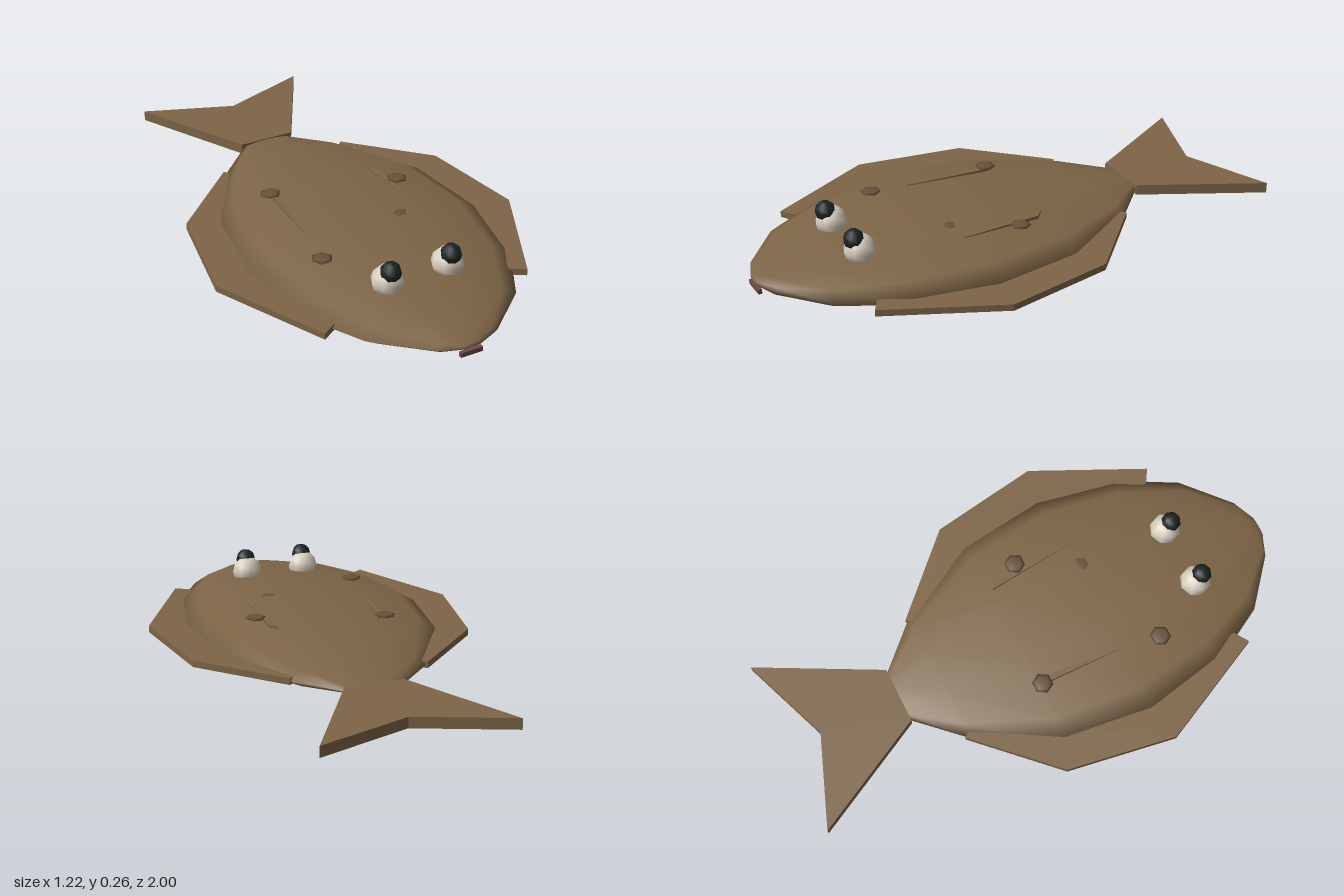
import * as THREE from 'three';

const MID = 0.0925; // height of the body's centre plane
const mat = (color, extra = {}) => new THREE.MeshStandardMaterial({ color, ...extra });

// Flat plate cut from an outline of [x, z] points, between two heights
function plate(name, points, y0, y1, material) {
  const shape = new THREE.Shape(points.map(([x, z]) => new THREE.Vector2(x, -z)));
  const geo = new THREE.ExtrudeGeometry(shape, { depth: y1 - y0, bevelEnabled: false });
  geo.rotateX(-Math.PI / 2).translate(0, y0, 0);
  const mesh = new THREE.Mesh(geo, material);
  mesh.name = name;
  return mesh;
}

// Ten-sided elliptical rings lofted from nose to tail: [z, half width, half height]
function buildBody(skin, belly) {
  const rings = [
    [0.995, 0.04, 0.01], [0.96, 0.125, 0.025], [0.81, 0.3, 0.053], [0.575, 0.43, 0.08],
    [0.27, 0.49, 0.097], [-0.07, 0.446, 0.086], [-0.385, 0.265, 0.047], [-0.555, 0.1, 0.017],
  ];
  const N = 10, pos = [], upper = [], lower = [];
  for (const [z, w, h] of rings) {
    for (let i = 0; i < N; i++) {
      const a = (i / N) * Math.PI * 2;
      pos.push(w * Math.cos(a), MID + h * Math.sin(a), z);
    }
  }
  const nose = rings.length * N, end = nose + 1;
  pos.push(0, MID, 0.998, 0, MID, -0.56);
  for (let i = 0; i < N; i++) {
    const j = (i + 1) % N, faces = i > 5 && i < 9 ? lower : upper;
    for (let r = 0; r < rings.length - 1; r++) {
      const a = r * N + i, b = r * N + j;
      faces.push(a, b, a + N, b, b + N, a + N);
    }
    // Invert-safe winding: outward normals on sides and both caps
    const last = (rings.length - 1) * N;
    faces.push(nose, i, j, end, last + j, last + i);
  }
  // The sides above run nose to tail, so flip them to face outward
  const flip = (list) => {
    for (let k = 0; k < list.length; k += 3) {
      const isCap = list[k] >= nose;
      if (!isCap) [list[k + 1], list[k + 2]] = [list[k + 2], list[k + 1]];
    }
    return list;
  };
  const whole = new THREE.BufferGeometry();
  whole.setAttribute('position', new THREE.Float32BufferAttribute(pos, 3));
  whole.setIndex([...flip(upper), ...flip(lower)]);
  whole.computeVertexNormals();

  // Back and belly share vertices, so shading runs smoothly across the seam
  const group = new THREE.Group();
  group.name = 'body';
  for (const [name, index, material] of [['back', upper, skin], ['belly', lower, belly]]) {
    const geo = whole.clone();
    geo.setIndex(index);
    const mesh = new THREE.Mesh(geo, material);
    mesh.name = name;
    group.add(mesh);
  }
  return group;
}

export function createModel() {
  const model = new THREE.Group();
  model.name = 'flatfish';
  const skin = mat(0x7d6546, { side: THREE.DoubleSide });
  const belly = mat(0xb0a78f, { side: THREE.DoubleSide });
  const finMat = mat(0x7d6546);
  const spotMat = mat(0x66523a);
  const eyeMat = mat(0xd8cfbe);
  const pupilMat = mat(0x1c2426);

  model.add(buildBody(skin, belly));

  // Tail fin
  model.add(plate('tailFin',
    [[-0.11, -0.55], [0.11, -0.55], [0.35, -1], [0, -0.87], [-0.35, -1]], 0.072, 0.113, finMat));

  for (const s of [1, -1]) {
    const side = s > 0 ? 'left' : 'right';
    const mirror = (pts) => pts.map(([x, z]) => [x * s, z]);

    // Long fringe fin along the flank
    model.add(plate(side + 'SideFin', mirror(
      [[0.35, 0.69], [0.405, 0.725], [0.61, 0.3], [0.54, -0.12], [0.26, -0.4], [0.22, -0.36], [0.4, -0.05], [0.44, 0.28]],
    ), 0.08, 0.105, finMat));

    // Slim fin lying on the back
    model.add(plate(side + 'BackFin', mirror(
      [[0.197, -0.058], [0.225, -0.03], [0.232, 0.28]],
    ), 0.15, 0.176, finMat));

    // Eye and pupil
    const eye = new THREE.Mesh(new THREE.SphereGeometry(0.06, 8, 6), eyeMat);
    eye.name = side + 'Eye';
    eye.position.set(0.12 * s, 0.178, 0.642);
    const pupil = new THREE.Mesh(new THREE.SphereGeometry(0.039, 8, 6), pupilMat);
    pupil.name = side + 'Pupil';
    pupil.position.set(0.12 * s, 0.224, 0.663);
    model.add(eye, pupil);
  }

  // Flattened six-sided spots on the back
  const spotGeo = new THREE.SphereGeometry(0.04, 6, 4).scale(1, 0.2, 1);
  for (const [x, z] of [[-0.222, -0.06], [0.252, 0.062], [0.133, 0.283], [-0.255, 0.418]]) {
    const spot = new THREE.Mesh(spotGeo, spotMat);
    spot.name = 'spot';
    spot.position.set(x, 0.178, z);
    model.add(spot);
  }

  // Mouth
  const mouth = new THREE.Mesh(new THREE.BoxGeometry(0.085, 0.018, 0.014), mat(0x6b4a48));
  mouth.name = 'mouth';
  mouth.position.set(0, 0.068, 0.993);
  model.add(mouth);

  return model;
}
